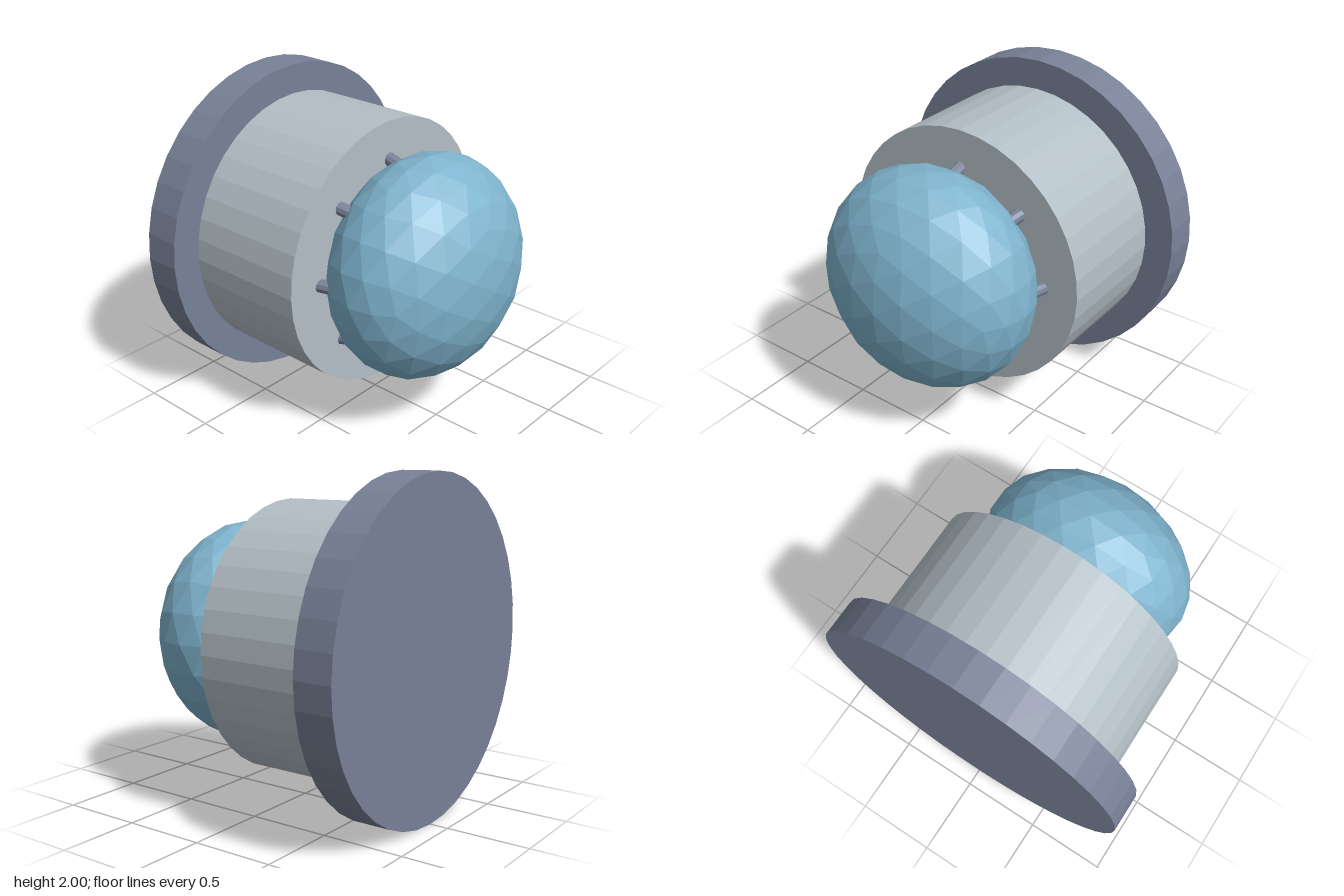
import * as THREE from 'three';

function flat(name, color) {
  const m = new THREE.MeshStandardMaterial({ color, flatShading: true });
  m.name = name;
  return m;
}

export function createModel() {
  const model = new THREE.Group();
  model.name = 'domeLamp';
  const slate = flat('slate', 0x788197);
  const silver = flat('silver', 0xb3bfc6);
  const blue = flat('blue', 0x7fb4ce);

  // Disc centred on the lamp axis, running from z0 to z1
  function disc(name, radius, z0, z1, material) {
    const geometry = new THREE.CylinderGeometry(radius, radius, z1 - z0, 40);
    geometry.rotateX(Math.PI / 2);
    const mesh = new THREE.Mesh(geometry, material);
    mesh.name = name;
    mesh.position.set(0, 1, (z0 + z1) / 2);
    model.add(mesh);
  }
  disc('basePlate', 1, -0.89, -0.66, slate);
  disc('body', 0.82, -0.66, 0.11, silver);

  // Flattened faceted dome
  const dome = new THREE.Mesh(
    new THREE.IcosahedronGeometry(0.68, 3).scale(1, 1, 0.72), blue);
  dome.name = 'dome';
  dome.position.set(0, 1, 0.4);
  model.add(dome);

  // Eight pins leaning inward from the body into the dome
  const up = new THREE.Vector3(0, 1, 0);
  for (let i = 0; i < 8; i++) {
    const a = i * Math.PI / 4;
    const at = (r, z) => new THREE.Vector3(r * Math.cos(a), 1 + r * Math.sin(a), z);
    const start = at(0.62, 0), end = at(0.53, 0.3);
    const axis = end.clone().sub(start);
    const pin = new THREE.Mesh(
      new THREE.CylinderGeometry(0.04, 0.04, axis.length(), 10), slate);
    pin.name = 'pin' + (i + 1);
    pin.position.copy(start).add(end).multiplyScalar(0.5);
    pin.quaternion.setFromUnitVectors(up, axis.normalize());
    model.add(pin);
  }
  return model;
}
